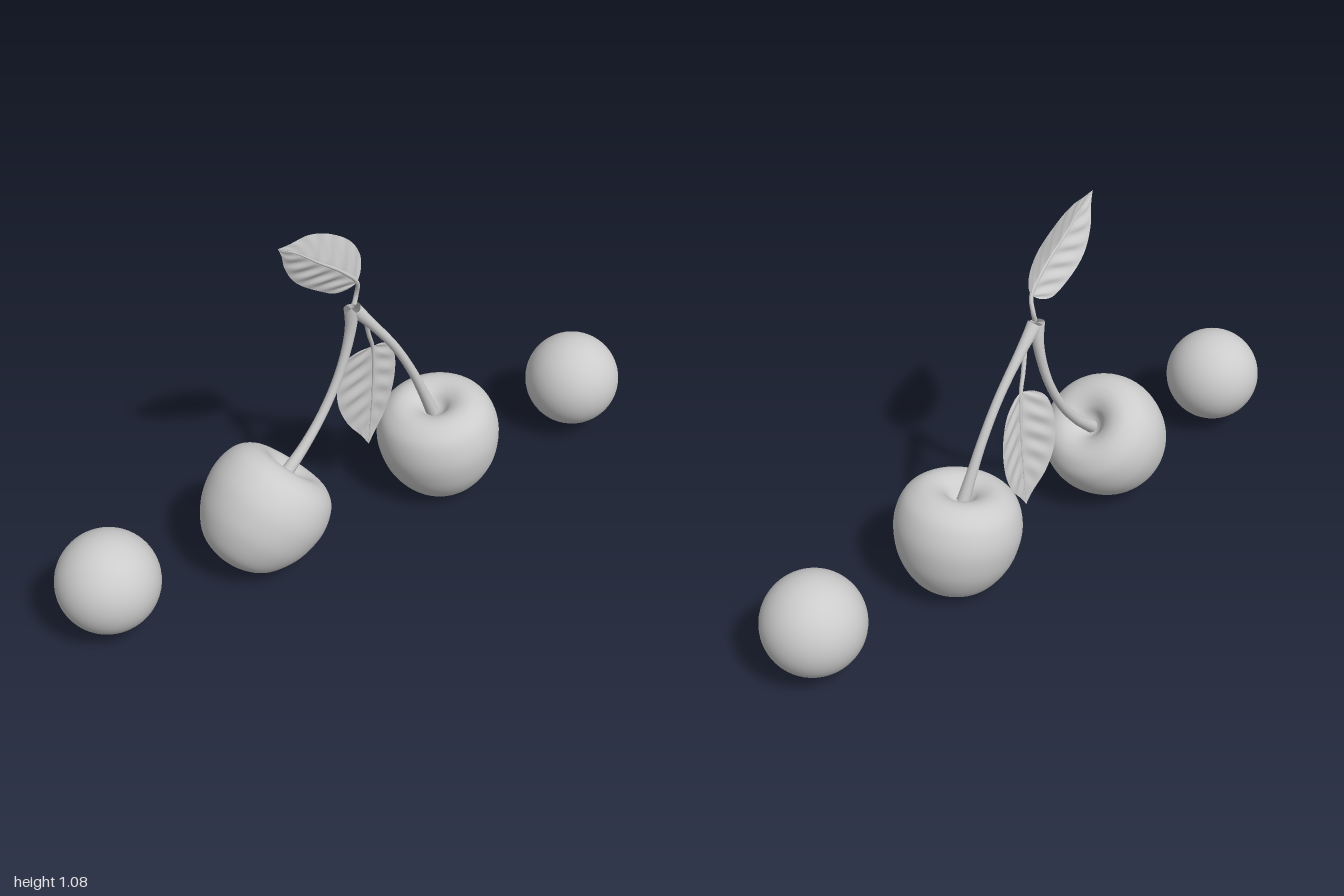
import * as THREE from 'three';

const grey = new THREE.MeshStandardMaterial({ color: 0xcccccc });
const thin = new THREE.MeshStandardMaterial({ color: 0xcccccc, side: THREE.DoubleSide });
const v3 = p => new THREE.Vector3(...p);

function mesh(name, geometry, material = grey) {
  const m = new THREE.Mesh(geometry, material);
  m.name = name;
  return m;
}

// Tube along a smooth path; radius is a rule of t (0..1), both ends closed flat
function taperedTube(points, radius, n = 48, sides = 16) {
  const curve = new THREE.CatmullRomCurve3(points.map(v3));
  const g = new THREE.TubeGeometry(curve, n, 1, sides);
  const pos = g.attributes.position, p = new THREE.Vector3();
  for (let i = 0; i <= n; i++) {
    const end = i === 0 || i === n;
    const t = Math.min(Math.max(i, 1), n - 1) / n;
    const old = curve.getPointAt(i / n), c = curve.getPointAt(t);
    for (let j = 0; j <= sides; j++) {
      const k = i * (sides + 1) + j;
      p.fromBufferAttribute(pos, k).sub(old).multiplyScalar(end ? 0 : radius(t)).add(c);
      pos.setXYZ(k, p.x, p.y, p.z);
    }
  }
  return g;
}

// Heart-shaped fruit with a dimple on top, turned about its own axis
function cherryGeometry() {
  const profile = [
    [0, -0.187], [0.06, -0.179], [0.12, -0.145], [0.167, -0.075], [0.187, 0],
    [0.186, 0.06], [0.166, 0.115], [0.128, 0.147], [0.09, 0.153], [0.055, 0.139],
    [0.028, 0.112], [0, 0.1],
  ].map(([x, y]) => new THREE.Vector2(x, y));
  const pts = new THREE.SplineCurve(profile).getPoints(60);
  pts.forEach(p => { p.x = Math.max(p.x, 0); });
  return new THREE.LatheGeometry(pts, 64);
}

// Half width of a leaf along its length: round base, drawn-out tip
const outline = new THREE.SplineCurve([
  [0, 0], [0.03, 0.42], [0.12, 0.8], [0.32, 1], [0.55, 0.95], [0.75, 0.66],
  [0.9, 0.24], [1, 0],
].map(([x, y]) => new THREE.Vector2(x, y)));

// Leaf blade folded along its midrib, with side veins as soft ripples
function leafGeometry(midrib, across, widths, fold) {
  const curve = new THREE.CatmullRomCurve3(midrib.map(v3));
  const side = v3(across).normalize();
  const nu = 72, nv = 20, pos = [], index = [];
  for (let i = 0; i <= nu; i++) {
    const o = outline.getPoint(i / nu);
    const c = curve.getPointAt(THREE.MathUtils.clamp(o.x, 0, 1));
    for (let j = 0; j <= nv; j++) {
      const v = (j / nv) * 2 - 1, a = Math.abs(v);
      const w = o.y * a;
      const ripple = 0.004 * Math.sin((o.x - 0.2 * a) * 38) * Math.sin(Math.PI * a) * o.y;
      const p = c.clone().addScaledVector(side, Math.sign(v) * w * widths[v < 0 ? 0 : 1]);
      pos.push(p.x, p.y, p.z - fold * Math.pow(w, 1.2) + ripple);
      if (i < nu && j < nv) {
        const k = i * (nv + 1) + j, l = k + nv + 1;
        index.push(k, l, k + 1, k + 1, l, l + 1);
      }
    }
  }
  const g = new THREE.BufferGeometry();
  g.setAttribute('position', new THREE.Float32BufferAttribute(pos, 3));
  g.setIndex(index);
  g.computeVertexNormals();
  return g;
}

// Leaf with a stalk that runs on as the midrib
function leaf(name, stalk, midrib, across, widths, fold) {
  const g = new THREE.Group();
  g.name = name;
  g.add(mesh(name + 'Blade', leafGeometry(midrib, across, widths, fold), thin));
  g.add(mesh(name + 'Stalk', taperedTube([...stalk, ...midrib], t => 0.0075 - 0.0065 * t, 64, 10)));
  return g;
}

export function createModel() {
  const model = new THREE.Group();
  model.name = 'cherries';

  // Loose round berries at both ends
  for (const s of [-1, 1]) {
    const berry = mesh(s < 0 ? 'rightBerry' : 'leftBerry', new THREE.SphereGeometry(0.15, 48, 32));
    berry.position.set(0.85 * s, 0.19, 0.034 * s);
    model.add(berry);
  }

  // Cherries, each leaning toward its stem
  const fruit = cherryGeometry();
  const right = mesh('rightCherry', fruit);
  right.position.set(-0.335, 0.203, -0.017);
  right.rotation.z = -0.74;
  const left = mesh('leftCherry', fruit);
  left.position.set(0.307, 0.19, 0.014);
  left.rotation.z = 0.17;
  model.add(right, left);

  // Stems joined at the top, flared at both ends
  const flare = t => 0.0135 + 0.011 * Math.pow(1 - t, 8) + 0.008 * Math.pow(t, 6);
  model.add(mesh('rightStem', taperedTube([
    [-0.012, 0.79, -0.01], [-0.012, 0.7, -0.017], [-0.045, 0.57, -0.022],
    [-0.105, 0.45, -0.024], [-0.18, 0.355, -0.022], [-0.262, 0.28, -0.018],
  ], flare)));
  model.add(mesh('leftStem', taperedTube([
    [-0.012, 0.785, -0.01], [0.05, 0.71, -0.007], [0.14, 0.59, -0.002],
    [0.205, 0.475, 0.002], [0.252, 0.37, 0.006], [0.287, 0.285, 0.01],
  ], flare)));

  // Leaves: one rising above the joint, one hanging behind the left stem
  model.add(leaf('upperLeaf',
    [[-0.005, 0.785, -0.01], [0.006, 0.82, -0.012]],
    [[0, 0.867, 0], [-0.06, 0.93, 0.006], [-0.14, 0.99, 0.008], [-0.21, 1.045, 0.01], [-0.275, 1.086, 0.015]],
    [0.63, 0.77, 0.12], [0.085, 0.087], 0.025));
  model.add(leaf('lowerLeaf',
    [[0.04, 0.72, -0.012], [0.062, 0.65, -0.025]],
    [[0.083, 0.597, -0.035], [0.095, 0.5, -0.045], [0.097, 0.4, -0.052], [0.097, 0.3, -0.06], [0.094, 0.212, -0.065]],
    [1, 0, 0.05], [0.107, 0.103], 0.03));

  return model;
}
